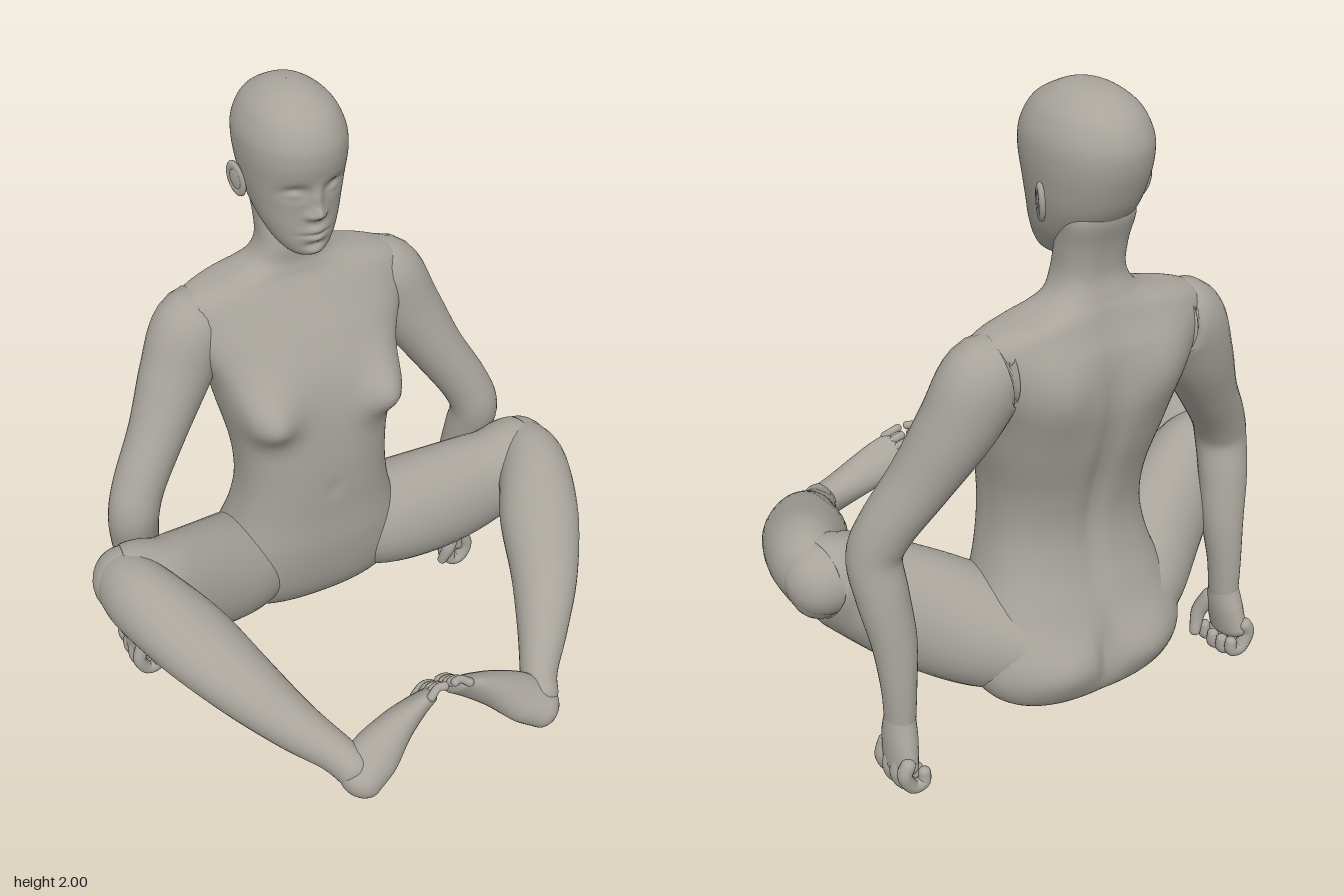
import * as THREE from 'three';

// Catmull-Rom interpolation through rows of numbers, t in 0..1
function sample(rows, t) {
  const f = t * (rows.length - 1);
  const i = Math.min(Math.floor(f), rows.length - 2), u = f - i;
  const at = (k) => rows[Math.max(0, Math.min(rows.length - 1, k))];
  return rows[i].map((_, c) => {
    const [a, b, d, e] = [at(i - 1)[c], at(i)[c], at(i + 1)[c], at(i + 2)[c]];
    return b + 0.5 * u * (d - a + u * (2 * a - 5 * b + 4 * d - e + u * (3 * (b - d) + e - a)));
  });
}

// Closed skin over rings: point(v index, angle) -> [x, y, z]
function skin(nv, nu, point) {
  const pos = [], idx = [];
  for (let v = 0; v < nv; v++)
    for (let u = 0; u < nu; u++) pos.push(...point(v, (u / nu) * Math.PI * 2));
  for (let v = 0; v < nv - 1; v++)
    for (let u = 0; u < nu; u++) {
      const a = v * nu + u, b = v * nu + ((u + 1) % nu);
      idx.push(a, b, b + nu, a, b + nu, a + nu);
    }
  const g = new THREE.BufferGeometry();
  g.setAttribute('position', new THREE.Float32BufferAttribute(pos, 3));
  g.setIndex(idx);
  g.computeVertexNormals();
  return g;
}

// Limb with rounded ends; rows are [x, y, z, half width, half thickness]
function limb(rows, up = [0, 1, 0], steps = 40, sides = 32) {
  const U = new THREE.Vector3(...up), cap = 7, rings = [];
  const centre = (t) => new THREE.Vector3(...sample(rows, t).slice(0, 3));
  const add = (t, phi) => {
    const r = sample(rows, t), k = Math.max(Math.cos(phi), 0.001);
    const T = centre(Math.min(1, t + 0.01)).sub(centre(Math.max(0, t - 0.01))).normalize();
    const S = U.clone().cross(T).normalize(), N = T.clone().cross(S);
    const c = centre(t).addScaledVector(T, Math.sin(phi) * Math.min(r[3], r[4]) * 0.9);
    rings.push({ c, S: S.multiplyScalar(r[3] * k), N: N.multiplyScalar(r[4] * k) });
  };
  for (let i = 0; i < cap; i++) add(0, (-Math.PI / 2) * (1 - i / cap));
  for (let i = 0; i <= steps; i++) add(i / steps, 0);
  for (let i = 1; i <= cap; i++) add(1, (Math.PI / 2) * (i / cap));
  return skin(rings.length, sides, (v, a) => {
    const { c, S, N } = rings[v];
    return c.clone().addScaledVector(S, Math.cos(a)).addScaledVector(N, Math.sin(a)).toArray();
  });
}

// Horizontal sections [y, half width, z front, z back], reshaped by offset(x, y, side)
function trunk(rows, power, steps, sides, offset) {
  const sp = (n) => Math.sign(n) * Math.pow(Math.abs(n), power);
  return skin(steps + 1, sides, (v, a) => {
    const [y, w, f, b] = sample(rows, v / steps);
    const s = -Math.sin(a), x = w * sp(Math.cos(a));
    const z = (f + b) / 2 + ((f - b) / 2) * sp(s);
    return [x, y, z + offset(x, y, s) * Math.min(1, Math.abs(s) * 2)];
  });
}

const bump = (x, y, cx, cy, rx, ry) => Math.exp(-(((x - cx) / rx) ** 2) - ((y - cy) / ry) ** 2);

function mirrored(geo) {
  const g = geo.clone().scale(-1, 1, 1), ix = g.index;
  for (let i = 0; i < ix.count; i += 3) {
    const k = ix.getX(i);
    ix.setX(i, ix.getX(i + 1));
    ix.setX(i + 1, k);
  }
  g.computeVertexNormals();
  return g;
}

export function createModel() {
  const model = new THREE.Group();
  model.name = 'seatedFigure';
  const clay = new THREE.MeshStandardMaterial({ color: 0xa8a49c });
  clay.name = 'warm grey clay';
  const add = (name, geo) => {
    const m = new THREE.Mesh(geo, clay);
    m.name = name;
    model.add(m);
  };
  const pair = (name, geo) => {
    add(name + 'Left', geo);
    add(name + 'Right', mirrored(geo));
  };

  // Torso and neck, with chest forms, spine furrow, shoulder blades and seat
  const torso = [
    [0.155, 0.0005, -0.4395, -0.4405], [0.163, 0.16, -0.35, -0.54], [0.2, 0.28, -0.29, -0.6],
    [0.27, 0.34, -0.24, -0.625], [0.36, 0.345, -0.21, -0.62], [0.48, 0.305, -0.19, -0.58],
    [0.6, 0.265, -0.185, -0.54], [0.72, 0.245, -0.178, -0.525], [0.85, 0.25, -0.176, -0.545],
    [1.0, 0.28, -0.188, -0.59], [1.12, 0.305, -0.215, -0.615], [1.22, 0.345, -0.265, -0.615],
    [1.3, 0.365, -0.315, -0.605], [1.36, 0.355, -0.352, -0.585], [1.393, 0.29, -0.372, -0.575],
    [1.415, 0.2, -0.38, -0.568], [1.445, 0.132, -0.386, -0.557], [1.5, 0.102, -0.385, -0.543],
    [1.58, 0.1, -0.4, -0.552], [1.66, 0.105, -0.42, -0.575], [1.7, 0.09, -0.44, -0.57],
  ];
  add('torso', trunk(torso, 0.82, 126, 96, (x, y, s) => {
    const ax = Math.abs(x);
    if (s > 0) return 0.085 * bump(ax, y, 0.212, 1.02, 0.092, y < 1.02 ? 0.075 : 0.1) - 0.006 * bump(x, y, 0, 0.72, 0.02, 0.03);
    return 0.022 * bump(x, y, 0, 0.95, 0.035, 0.35) + 0.03 * bump(x, y, 0, 0.34, 0.025, 0.08)
      - 0.03 * bump(ax, y, 0.17, 1.22, 0.1, 0.12) - 0.03 * bump(ax, y, 0.15, 0.32, 0.12, 0.08);
  }));

  // Head with modelled brow, closed eyes, nose, lips and chin
  const head = [
    [1.508, 0.01, -0.33, -0.35], [1.515, 0.05, -0.295, -0.4], [1.55, 0.085, -0.28, -0.46],
    [1.61, 0.115, -0.274, -0.525], [1.68, 0.135, -0.268, -0.585], [1.75, 0.148, -0.255, -0.618],
    [1.82, 0.155, -0.24, -0.638], [1.88, 0.15, -0.245, -0.637], [1.94, 0.122, -0.28, -0.605],
    [1.98, 0.076, -0.345, -0.545], [1.995, 0.038, -0.39, -0.495], [2.0, 0.0005, -0.4445, -0.4455],
  ];
  add('head', trunk(head, 0.93, 150, 128, (x, y, s) => {
    if (s < 0) return 0;
    const ax = Math.abs(x);
    return 0.03 * bump(x, y, 0, 1.664, 0.02, 0.022) + 0.016 * bump(x, y, 0, 1.705, 0.016, 0.04)
      + 0.012 * bump(ax, y, 0.022, 1.656, 0.012, 0.012)
      - 0.022 * bump(ax, y, 0.06, 1.735, 0.034, 0.022) + 0.014 * bump(ax, y, 0.062, 1.728, 0.022, 0.013)
      + 0.013 * bump(x, y, 0, 1.605, 0.035, 0.014) + 0.013 * bump(x, y, 0, 1.578, 0.03, 0.013)
      - 0.006 * bump(x, y, 0, 1.591, 0.045, 0.004) - 0.005 * bump(x, y, 0, 1.555, 0.03, 0.01)
      + 0.01 * bump(x, y, 0, 1.53, 0.03, 0.015);
  }));

  // Ears: a rolled rim around a shallow bowl, flared at the top
  const place = (g) => g.rotateY(Math.PI / 2 - 0.4).rotateZ(-0.15).rotateX(-0.15).translate(0.156, 1.715, -0.468);
  pair('earRim', place(new THREE.TorusGeometry(0.024, 0.009, 10, 28).scale(1, 1.75, 1)));
  pair('earBowl', place(new THREE.SphereGeometry(0.026, 20, 14).scale(1, 1.75, 0.35)));

  // Arms, braced straight down beside the hips
  pair('arm', limb([
    [0.23, 1.27, -0.475, 0.09, 0.095], [0.32, 1.262, -0.468, 0.112, 0.12], [0.395, 1.13, -0.445, 0.107, 0.11],
    [0.485, 0.97, -0.402, 0.093, 0.088], [0.57, 0.83, -0.362, 0.082, 0.08], [0.603, 0.735, -0.346, 0.079, 0.078],
    [0.597, 0.62, -0.375, 0.073, 0.075], [0.582, 0.48, -0.405, 0.065, 0.065],
    [0.583, 0.34, -0.425, 0.056, 0.05], [0.585, 0.23, -0.43, 0.052, 0.043],
  ], [1, 0, 0], 60));

  // Loosely closed hands
  pair('palm', limb([
    [0.585, 0.25, -0.43, 0.048, 0.042], [0.59, 0.18, -0.435, 0.068, 0.046], [0.598, 0.1, -0.45, 0.078, 0.04],
  ], [1, 0, 0], 16, 24));
  for (let i = 0; i < 4; i++) {
    const z = -0.385 - i * 0.043, lift = [0.008, 0, 0.006, 0.022][i];
    pair('finger' + (i + 1), limb([
      [0.61, 0.13, z, 0.022, 0.022], [0.622, 0.075 + lift, z, 0.022, 0.024],
      [0.598, 0.028 + lift, z, 0.021, 0.022], [0.562, 0.03 + lift, z, 0.02, 0.021],
      [0.558, 0.062 + lift, z, 0.018, 0.018],
    ], [0, 0, 1], 18, 14));
  }
  pair('thumb', limb([
    [0.57, 0.18, -0.39, 0.028, 0.028], [0.545, 0.12, -0.368, 0.024, 0.024], [0.525, 0.055, -0.378, 0.017, 0.017],
  ], [0, 0, 1], 14, 14));

  // Legs, knees spread and shins folded inward
  pair('thigh', limb([
    [0.16, 0.35, -0.44, 0.16, 0.15], [0.28, 0.385, -0.36, 0.168, 0.175], [0.43, 0.46, -0.275, 0.148, 0.18],
    [0.58, 0.555, -0.205, 0.128, 0.155], [0.665, 0.61, -0.195, 0.12, 0.125], [0.7, 0.617, -0.197, 0.11, 0.108],
  ]));
  pair('shin', limb([
    [0.703, 0.605, -0.21, 0.09, 0.11], [0.682, 0.617, -0.09, 0.112, 0.12], [0.602, 0.563, 0.08, 0.126, 0.106],
    [0.518, 0.49, 0.25, 0.105, 0.094], [0.428, 0.41, 0.39, 0.078, 0.077],
    [0.352, 0.358, 0.495, 0.058, 0.062], [0.32, 0.332, 0.555, 0.056, 0.06],
  ]));

  // Feet, soles turned forward and down, toes meeting in the middle
  const dorsum = [0, 0.7, -0.7];
  pair('foot', limb([
    [0.31, 0.303, 0.583, 0.057, 0.066], [0.25, 0.348, 0.556, 0.058, 0.076], [0.17, 0.4, 0.532, 0.064, 0.056],
    [0.1, 0.437, 0.52, 0.068, 0.038], [0.05, 0.46, 0.516, 0.064, 0.026],
  ], dorsum, 30, 28));
  for (let i = 0; i < 5; i++) {
    const k = -1 + i * 0.5, r = i === 0 ? 0.02 : 0.0165 - i * 0.0008;
    const y = 0.475 + k * 0.037, z = 0.512 + k * 0.042;
    pair('toe' + (i + 1), limb([
      [0.065, y - 0.012, z + 0.004, r, r], [0.038, y + 0.005, z - 0.006, r * 0.9, r * 0.9],
      [0.017, y + 0.006, z - 0.002, r, r],
    ], dorsum, 12, 14));
  }
  return model;
}
